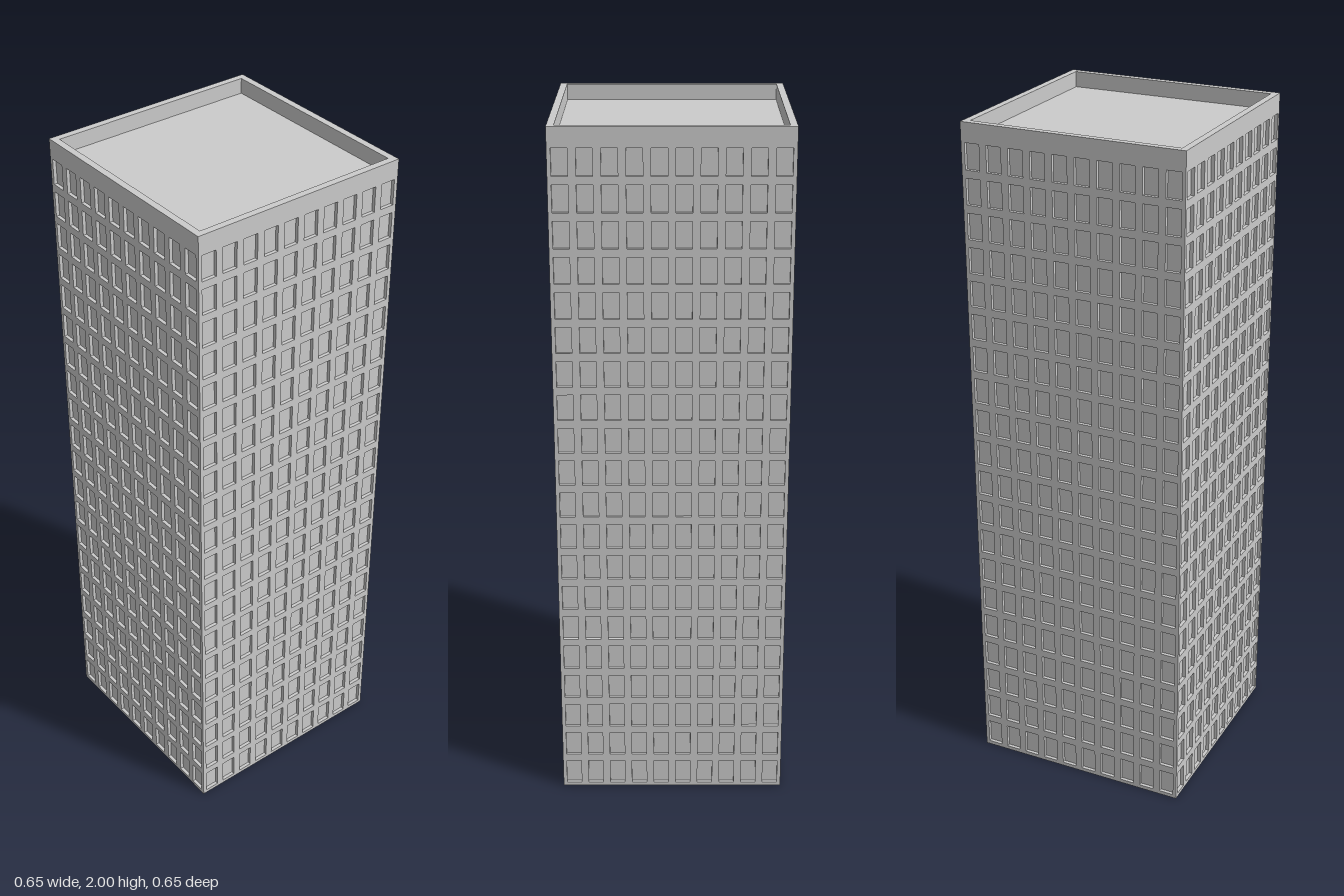
import * as THREE from 'three';

const HALF = 0.3275;   // half the width of the tower
const DEPTH = 0.01;    // how far the windows are set back
const ROOF = 1.955;    // height of the roof deck
const TOP = 2;         // height of the parapet
const RIM = 0.02;      // parapet thickness
const COLS = 10, ROWS = 20;
const WIN_W = 0.044, WIN_H = 0.075;

function rect(Type, x0, y0, x1, y1) {
  const r = new Type();
  r.moveTo(x0, y0);
  r.lineTo(x1, y0);
  r.lineTo(x1, y1);
  r.lineTo(x0, y1);
  r.closePath();
  return r;
}

// One wall sheet pierced by a grid of windows, mitred at the corners
function facadeGeometry() {
  const shape = rect(THREE.Shape, -HALF, 0, HALF, ROOF);
  const px = 2 * HALF / COLS, py = ROOF / ROWS;
  for (let r = 0; r < ROWS; r++) {
    for (let c = 0; c < COLS; c++) {
      const x = -HALF + (c + 0.5) * px, y = (r + 0.5) * py;
      shape.holes.push(rect(THREE.Path, x - WIN_W / 2, y - WIN_H / 2, x + WIN_W / 2, y + WIN_H / 2));
    }
  }
  const geo = new THREE.ExtrudeGeometry(shape, { depth: DEPTH, bevelEnabled: false });
  const p = geo.attributes.position;
  for (let i = 0; i < p.count; i++) {
    const x = p.getX(i);
    if (p.getZ(i) < DEPTH / 2 && Math.abs(x) > HALF - 1e-4) p.setX(i, Math.sign(x) * (HALF - DEPTH));
  }
  geo.computeVertexNormals();
  return geo.translate(0, 0, HALF - DEPTH);
}

export function createModel() {
  const group = new THREE.Group();
  group.name = 'towerBlock';
  const mat = new THREE.MeshStandardMaterial({ color: 0xcccccc });
  const add = (name, geo) => {
    const mesh = new THREE.Mesh(geo, mat);
    mesh.name = name;
    group.add(mesh);
    return mesh;
  };

  // Inner block: window panes, roof deck and underside
  const inner = 2 * (HALF - DEPTH);
  add('windowPanesAndRoof', new THREE.BoxGeometry(inner, ROOF, inner)).position.y = ROOF / 2;

  // Four identical window walls
  const facade = facadeGeometry();
  ['front', 'left', 'back', 'right'].forEach((side, i) => {
    add(side + 'Facade', facade).rotation.y = i * Math.PI / 2;
  });

  // Parapet ring around the roof
  const ring = rect(THREE.Shape, -HALF, -HALF, HALF, HALF);
  const in_ = HALF - RIM;
  ring.holes.push(rect(THREE.Path, -in_, -in_, in_, in_));
  const parapet = add('parapet', new THREE.ExtrudeGeometry(ring, { depth: TOP - ROOF, bevelEnabled: false }));
  parapet.rotation.x = -Math.PI / 2;
  parapet.position.y = ROOF;

  return group;
}
